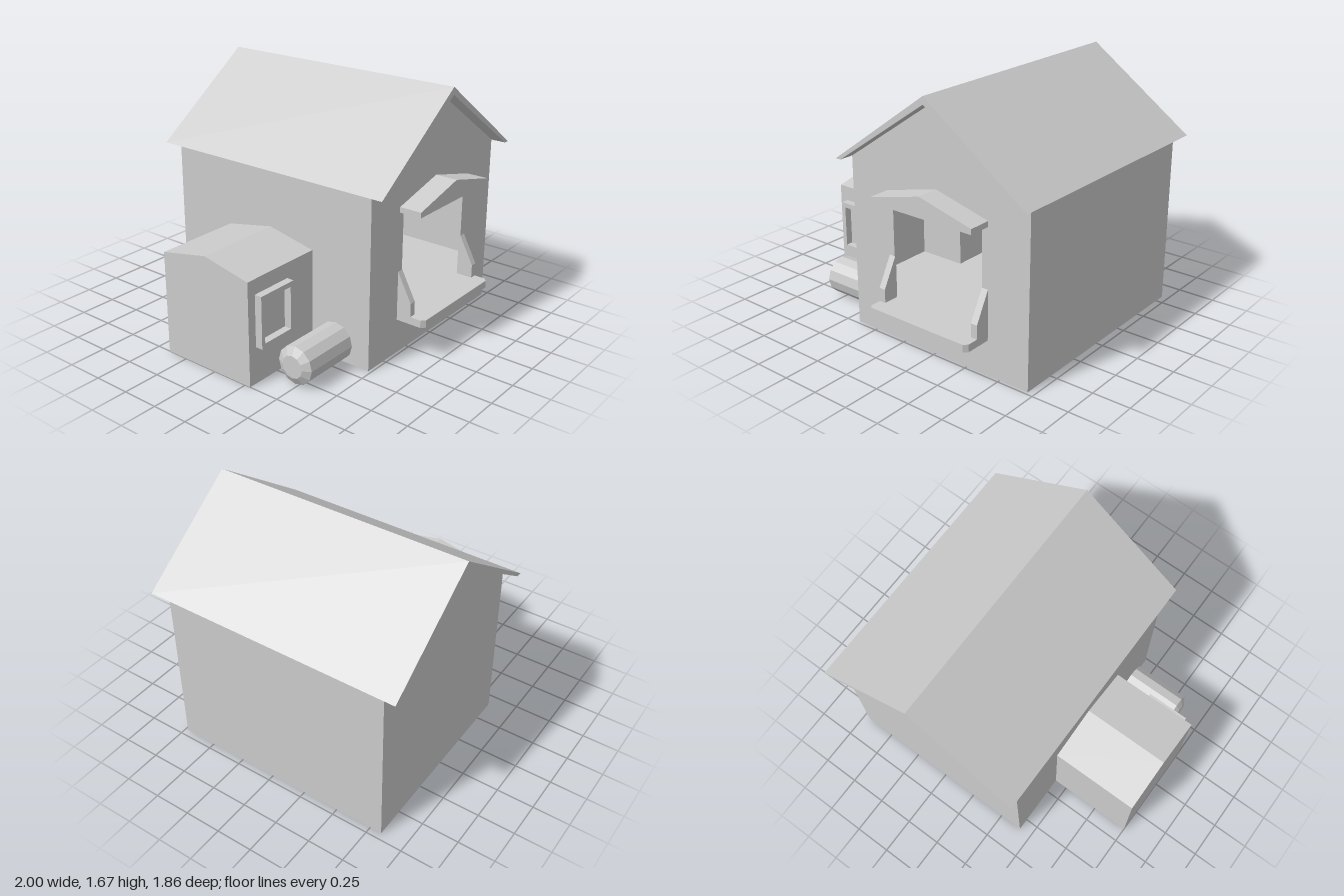
import * as THREE from 'three';

const paint = new THREE.MeshStandardMaterial({ color: 0xcccccc });
paint.name = 'plain grey';
paint.flatShading = true;

const toShape = (pts) => new THREE.Shape(pts.map(([x, y]) => new THREE.Vector2(x, y)));
const rect = (x0, y0, x1, y1) => [[x0, y0], [x1, y0], [x1, y1], [x0, y1]];

export function createModel() {
  const model = new THREE.Group();
  model.name = 'house';

  const add = (name, geometry) => {
    const mesh = new THREE.Mesh(geometry, paint);
    mesh.name = name;
    model.add(mesh);
    return mesh;
  };
  // Box given by its limits
  const box = (name, x0, x1, y0, y1, z0, z1) =>
    add(name, new THREE.BoxGeometry(x1 - x0, y1 - y0, z1 - z0)
      .translate((x0 + x1) / 2, (y0 + y1) / 2, (z0 + z1) / 2));
  const extrude = (shape, depth) => new THREE.ExtrudeGeometry(shape, { depth, bevelEnabled: false });
  // Outline in x, y pushed along z
  const prismZ = (name, pts, z0, z1, hole) => {
    const shape = toShape(pts);
    if (hole) shape.holes.push(new THREE.Path(hole.map(([x, y]) => new THREE.Vector2(x, y))));
    return add(name, extrude(shape, z1 - z0).translate(0, 0, z0));
  };
  // Outline in z, y pushed along x
  const prismX = (name, pts, x0, x1) =>
    add(name, extrude(toShape(pts.map(([z, y]) => [-z, y])), x1 - x0)
      .rotateY(Math.PI / 2).translate(x0, 0, 0));

  const left = -0.41, right = 0.955, mid = 0.275, eave = 1.155, t = 0.012;
  const front = 0.73, back = -0.83;

  // Main walls
  const gable = [[left, 0], [right, 0], [right, eave], [mid, 1.62], [left, eave]];
  prismZ('frontWall', gable, front - t, front, rect(-0.075, 0.285, 0.615, 0.96));
  prismZ('backWall', gable, back, back + t);
  box('rightWall', left, left + t, 0, eave, back + t, front - t);
  box('leftWall', right - t, right, 0, eave, back + t, front - t);

  // Roof
  prismZ('roof', [[-0.45, 1.15], [left, 1.15], [mid, 1.62], [right + 0.005, 1.15], [1, 1.15], [mid, 1.67]], -0.93, 0.83);

  // Interior: raised floor, partition block and two bowls
  box('floor', left + t, right - t, 0.06, 0.285, back + t, front - t);
  box('partition', left + t, -0.075, 0.285, 1.15, back + t, 0.1);
  [[-0.46, 0.04, 0.38], [-0.18, 0.055, 0.365]].forEach(([z, low, top]) => {
    const profile = [[0, low], [0.095, low], [0.095, 0.355], [0.05, top], [0, top]];
    const bowl = new THREE.LatheGeometry(profile.map(([r, y]) => new THREE.Vector2(r, y)), 16);
    add('bowl', bowl).position.set(0.55, 0, z);
  });

  // Canopy over the opening
  prismZ('canopy', [[-0.115, 0.957], [0.66, 0.957], [0.66, 0.993], [mid, 1.09], [-0.115, 0.993]], front, 0.88);

  // Counter with clipped front corners
  const counter = toShape([[-0.115, -front], [-0.115, -0.905], [-0.09, -0.93], [0.635, -0.93], [0.66, -0.905], [0.66, -front]]);
  add('counter', extrude(counter, 0.05).rotateX(-Math.PI / 2).translate(0, 0.235, 0));

  // Counter side cheeks
  for (const x of [-0.115, 0.615]) {
    prismX('counterCheek', [[front, 0.285], [0.83, 0.285], [0.83, 0.375], [front, 0.565]], x, x + 0.045);
  }

  // Side annex with low gable and window frame
  prismX('annex', [[-0.4, 0], [0.29, 0], [0.29, 0.69], [-0.05, 0.76], [-0.4, 0.69]], -1, left);
  prismZ('windowFrame', rect(-0.94, 0.245, -0.65, 0.59), 0.29, 0.34, rect(-0.913, 0.275, -0.677, 0.557));

  // Barrel lying beside the wall
  const barrel = new THREE.LatheGeometry(
    [[0, 0], [0.127, 0], [0.127, 0.39], [0.075, 0.42], [0, 0.42]].map(([r, y]) => new THREE.Vector2(r, y)), 12);
  add('barrel', barrel.rotateZ(Math.PI / 2)).position.set(-0.425, 0.138, 0.487);

  return model;
}
